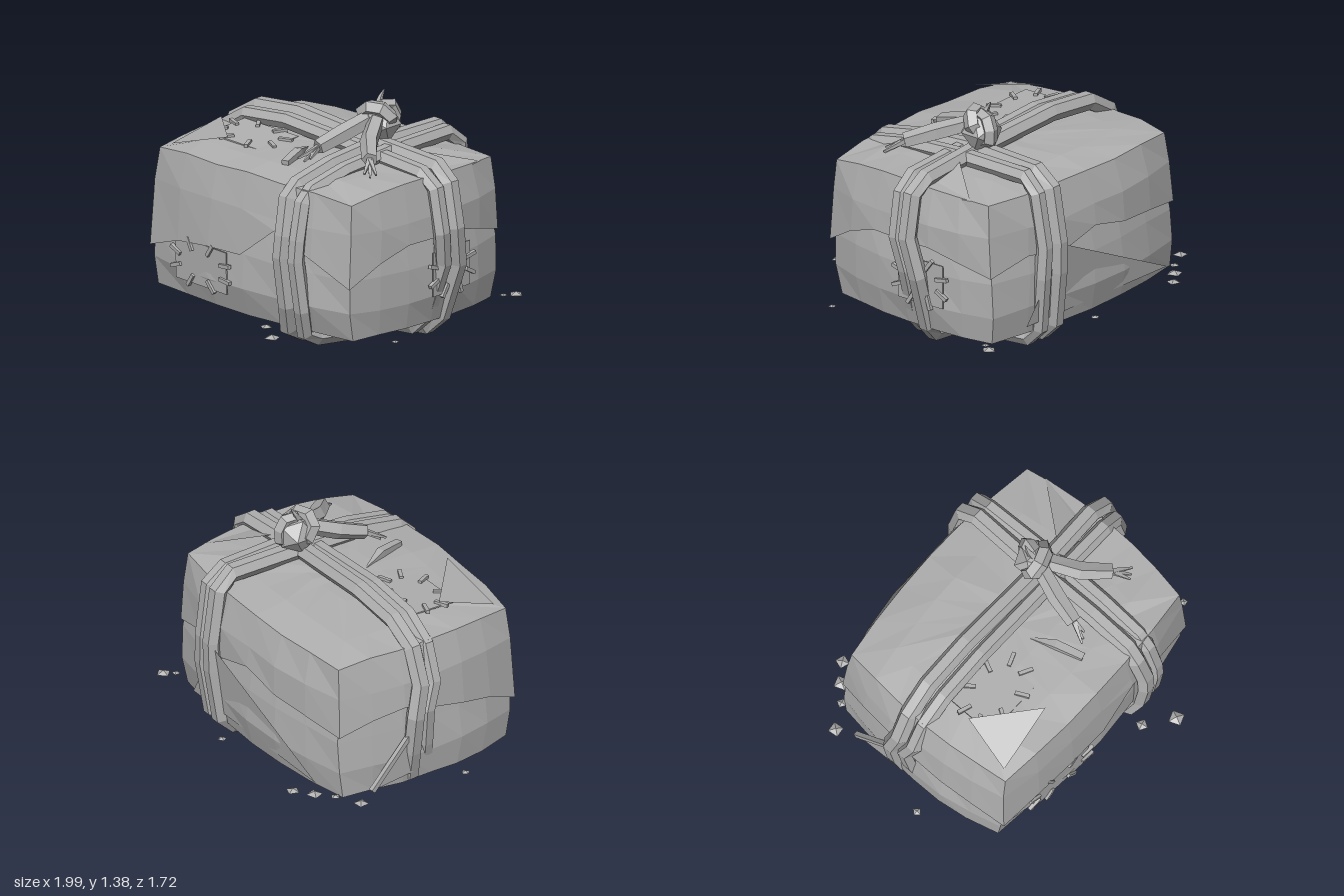
import * as THREE from 'three';

const V = (p) => new THREE.Vector3(...p);

export function createModel() {
  const root = new THREE.Group();
  const grey = new THREE.MeshStandardMaterial({ color: 0xb0b0b0, flatShading: true, side: THREE.DoubleSide });
  grey.name = 'plain grey cloth';
  let seed = 7;
  const rnd = (a) => { seed = (seed * 16807) % 2147483647; return (seed / 2147483647 - 0.5) * 2 * a; };

  const add = (name, geo, parent = root) => {
    const m = new THREE.Mesh(geo, grey);
    m.name = name;
    parent.add(m);
    return m;
  };

  // Stack of equal point rings joined by quads, with optional caps or closed loop
  const skin = (rings, { capStart, capEnd, loop } = {}) => {
    const n = rings[0].length, pos = rings.flat().flatMap((p) => p.toArray()), idx = [];
    const last = loop ? rings.length : rings.length - 1;
    for (let i = 0; i < last; i++) for (let j = 0; j < n; j++) {
      const a = i * n + j, b = i * n + (j + 1) % n;
      const c = ((i + 1) % rings.length) * n + j, d = ((i + 1) % rings.length) * n + (j + 1) % n;
      idx.push(a, b, c, b, d, c);
    }
    const cap = (r, flip) => {
      const mid = new THREE.Vector3();
      rings[r].forEach((p) => mid.addScaledVector(p, 1 / n));
      const k = pos.push(...mid.toArray()) / 3 - 1;
      for (let j = 0; j < n; j++) {
        const a = r * n + j, b = r * n + (j + 1) % n;
        idx.push(k, flip ? b : a, flip ? a : b);
      }
    };
    if (capStart) cap(0, true);
    if (capEnd) cap(rings.length - 1, false);
    const g = new THREE.BufferGeometry();
    g.setAttribute('position', new THREE.Float32BufferAttribute(pos, 3));
    g.setIndex(idx);
    const flat = g.toNonIndexed();
    flat.computeVertexNormals();
    return flat;
  };

  // Faceted strand through a list of points
  const strand = (pts, radius, { sides = 6, loop = false, ref = [0, 1, 0] } = {}) => {
    const p = pts.map(V), n = p.length, up = V(ref);
    const rings = p.map((c, i) => {
      const prev = loop ? p[(i + n - 1) % n] : p[Math.max(i - 1, 0)];
      const next = loop ? p[(i + 1) % n] : p[Math.min(i + 1, n - 1)];
      const t = next.clone().sub(prev).normalize();
      const u = up.clone().cross(t).normalize(), v = t.clone().cross(u);
      const r = Array.isArray(radius) ? radius[i] : radius;
      return Array.from({ length: sides }, (_, j) => {
        const a = ((j + 0.5) / sides) * Math.PI * 2;
        return c.clone().addScaledVector(u, r * Math.cos(a)).addScaledVector(v, r * Math.sin(a));
      });
    });
    return skin(rings, { capStart: !loop, capEnd: !loop, loop });
  };

  // Bulged rectangular ring: front, right, back, left with six points per side
  const N = 6;
  const bale = (ys, hx, zf, zb, bulge, jit, s = 1, left = 1) => {
    const out = [], zm = (zf + zb) / 2, hz = (zf - zb) / 2;
    for (let side = 0; side < 4; side++) for (let i = 0; i < N; i++) {
      const t = -1 + (2 * i) / N, q = bulge * (1 - t * t);
      const [x, z] = [[hx * t, zf + q * 0.75], [hx + q * 0.9, zm - hz * t],
        [-hx * t, zb - q], [-hx - q * 0.85, zm + hz * t]][side];
      const y = Array.isArray(ys) ? ys[side * N + i] : ys;
      out.push(new THREE.Vector3(x * s * (x < 0 ? left : 1) + rnd(jit), y + rnd(jit), zm + (z - zm) * s + rnd(jit)));
    }
    return out;
  };

  // Lower bundle with a sagging underside
  add('bundleBody', skin([
    bale(0.105, 0.75, 0.5, -0.63, 0.05, 0.004, 0.35),
    bale(0.115, 0.75, 0.5, -0.63, 0.05, 0.006, 0.75),
    bale(0.155, 0.75, 0.5, -0.63, 0.08, 0.006, 1, 1.02),
    bale(0.32, 0.77, 0.535, -0.65, 0.1, 0.008),
    bale(0.52, 0.765, 0.53, -0.64, 0.095, 0.008, 1, 0.98),
    bale(0.78, 0.745, 0.51, -0.61, 0.075, 0.004, 1, 0.97),
  ], { capStart: true }));

  // Cloth cover with a ragged, flared hem
  const hem = [0.4, 0.49, 0.52, 0.53, 0.73, 0.61, 0.48, 0.6, 0.67, 0.67, 0.67, 0.62,
    0.56, 0.64, 0.6, 0.68, 0.62, 0.6, 0.56, 0.63, 0.66, 0.6, 0.55, 0.5];
  const rim = [0.98, 1.0, 1.0, 1.01, 1.0, 1.0, 0.965, 1.0, 1.02, 1.02, 1.01, 1.0,
    0.99, 0.99, 1.0, 1.0, 0.99, 0.99, 0.98, 1.0, 1.0, 1.0, 1.0, 0.99];
  add('clothCover', skin([
    bale(hem, 0.785, 0.56, -0.65, 0.1, 0, 1, 0.985),
    bale(0.8, 0.78, 0.545, -0.64, 0.1, 0.008, 1, 0.97),
    bale(rim, 0.765, 0.53, -0.62, 0.06, 0.005, 1, 0.95),
    bale(1.025, 0.765, 0.53, -0.62, 0.05, 0.006, 0.7),
    bale(1.04, 0.765, 0.53, -0.62, 0.05, 0.004, 0.3),
  ], { capEnd: true }));

  // Lengthwise double rope, as x and y
  const long = [[-0.83, 0.36], [-0.79, 0.19], [-0.69, 0.125], [-0.2, 0.085], [0.3, 0.062], [0.71, 0.095],
    [0.785, 0.17], [0.895, 0.5], [0.925, 0.72], [0.88, 0.97], [0.785, 1.04], [0.3, 1.075],
    [-0.28, 1.115], [-0.6, 1.085], [-0.77, 0.98], [-0.85, 0.78], [-0.865, 0.6]];
  // Crosswise double rope, as z and y
  const cross = [[0.64, 0.6], [0.6, 0.3], [0.55, 0.15], [0.46, 0.105], [0.1, 0.062], [-0.15, 0.052],
    [-0.63, 0.1], [-0.7, 0.17], [-0.745, 0.5], [-0.75, 0.68], [-0.7, 1.0], [-0.61, 1.075],
    [-0.15, 1.075], [0.25, 1.045], [0.52, 0.99], [0.58, 0.93], [0.63, 0.72]];
  const sway = (y) => (y > 0.65 ? 0 : y > 0.25 ? -0.045 : y > 0.15 ? -0.025 : 0);
  [[-0.152, 0.355], [-0.052, 0.46]].forEach(([z, x], i) => {
    const lift = i ? -0.012 : 0.005, r = i ? 0.05 : 0.056;
    add('lengthwiseRope', strand(long.map(([a, y]) =>
      [a * (1 + lift), y + (y > 0.6 ? lift : -lift), z + sway(y) + rnd(0.008)]), r, { loop: true, ref: [0, 0, 1] }));
    add('crosswiseRope', strand(cross.map(([a, y]) =>
      [x - 0.02 + rnd(0.01) - (y < 0.2 ? 0.02 : 0), y + lift * 0.6, a * (1 + lift)]), r, { loop: true, ref: [1, 0, 0] }));
  });

  // Knot: core, two wraps and a rear loop
  const knot = new THREE.Group();
  knot.name = 'knot';
  root.add(knot);
  const core = add('knotCore', new THREE.IcosahedronGeometry(0.12, 0), knot);
  core.position.set(0.325, 1.2, -0.175);
  const wrap = (name, c, rx, ry, rot, r) => {
    const pts = Array.from({ length: 7 }, (_, i) => {
      const a = (i / 7) * Math.PI * 2;
      return [Math.cos(a) * rx, Math.sin(a) * ry, 0];
    });
    const m = add(name, strand(pts, r, { sides: 5, loop: true, ref: [0, 0, 1] }), knot);
    m.position.set(...c);
    m.rotation.set(...rot);
  };
  wrap('knotWrap', [0.32, 1.24, -0.15], 0.085, 0.07, [0.5, 0.3, 0], 0.048);
  wrap('knotLoop', [0.34, 1.225, -0.22], 0.045, 0.08, [0, 1.3, 0.2], 0.045);
  add('knotSpike', strand([[0.31, 1.29, -0.17], [0.3, 1.34, -0.2], [0.305, 1.38, -0.225]], [0.025, 0.014, 0.004], { sides: 4, ref: [1, 0, 0] }), knot);

  // Rope tails with frayed ends
  [[[0.3, 1.23, -0.1], [0.25, 1.17, 0.06], [0.215, 1.12, 0.22], [0.19, 1.05, 0.31]],
    [[0.36, 1.23, -0.1], [0.45, 1.17, 0.05], [0.58, 1.12, 0.18], [0.66, 1.05, 0.26]]].forEach((p) => {
    add('ropeTail', strand(p.slice(0, 3), [0.05, 0.054, 0.046], { sides: 5 }), knot);
    [-0.03, 0, 0.03].forEach((d) => add('frayedEnd', strand(
      [p[2], [p[3][0] + d, p[3][1] + Math.abs(d) * 0.6, p[3][2] - d * 0.6]], [0.02, 0.007], { sides: 4 }), knot));
  });

  // Stitched patches: thin plate with stitches straddling its border
  const patch = (name, w, h, pos, rot) => {
    const g = new THREE.Group();
    g.name = name;
    g.position.set(...pos);
    g.rotation.set(...rot);
    root.add(g);
    add('patchCloth', new THREE.BoxGeometry(w, h, 0.008), g);
    for (let i = 0; i < 8; i++) {
      const a = ((i + 0.5) / 8) * Math.PI * 2;
      const s = add('stitch', new THREE.BoxGeometry(0.085, 0.022, 0.022), g);
      s.position.set(Math.cos(a) * w * 0.52, Math.sin(a) * h * 0.47, 0.008);
      s.rotation.z = Math.atan2(Math.sin(a) * h, Math.cos(a) * w) + rnd(0.2);
    }
  };
  patch('frontPatch', 0.43, 0.25, [-0.335, 0.385, 0.598], [0.03, -0.08, 0]);
  patch('topPatch', 0.42, 0.3, [-0.37, 1.04, 0.14], [-Math.PI / 2 + 0.05, 0.03, 0]);
  patch('sidePatch', 0.32, 0.26, [0.862, 0.45, -0.19], [0, Math.PI / 2 + 0.06, 0]);

  // Loose torn cloth flaps
  const flap = (name, ...pts) => {
    const g = new THREE.BufferGeometry().setFromPoints(pts.map(V));
    g.computeVertexNormals();
    add(name, g);
  };
  flap('topFlap', [-0.68, 1.0, 0.48], [-0.28, 1.12, 0.44], [-0.61, 1.1, 0.15]);
  flap('rightFlap', [0.79, 1.0, -0.5], [0.54, 1.08, -0.2], [0.66, 1.04, -0.02]);
  flap('rightFlapFold', [0.79, 1.0, -0.5], [0.66, 1.04, -0.02], [0.82, 0.98, -0.2]);
  flap('backFlap', [0.3, 0.66, -0.77], [0.56, 0.22, -0.72], [-0.64, 0.22, -0.72]);
  flap('leftFlap', [-0.855, 0.52, -0.18], [-0.85, 0.19, -0.48], [-0.85, 0.22, -0.16]);
  add('leftFlapEdge', strand([[-0.85, 0.19, -0.48], [-0.855, 0.52, -0.18]], 0.02, { sides: 4, ref: [1, 0, 0] }));
  add('looseStrand', strand([[0.0, 1.04, 0.08], [0.06, 1.055, 0.22], [0.11, 1.035, 0.38]], [0.006, 0.034, 0.03], { sides: 4 }));

  // Scattered crumbs, as x, z, size
  [[-0.97, 0.08, 0.028], [-0.9, -0.59, 0.045], [-0.76, -0.67, 0.03], [-0.67, -0.75, 0.048], [-0.57, -0.83, 0.042],
    [0.11, -0.84, 0.028], [0.83, -0.65, 0.025], [0.87, -0.71, 0.045], [0.97, 0.38, 0.025], [0.26, 0.69, 0.038],
    [0.42, 0.81, 0.05]].forEach(([x, z, r], i) => {
    const c = add('crumb', new THREE.OctahedronGeometry(r, 0));
    c.position.set(x, 0.175, z);
    c.scale.y = 0.4;
    c.rotation.y = i * 0.9;
  });
  return root;
}
